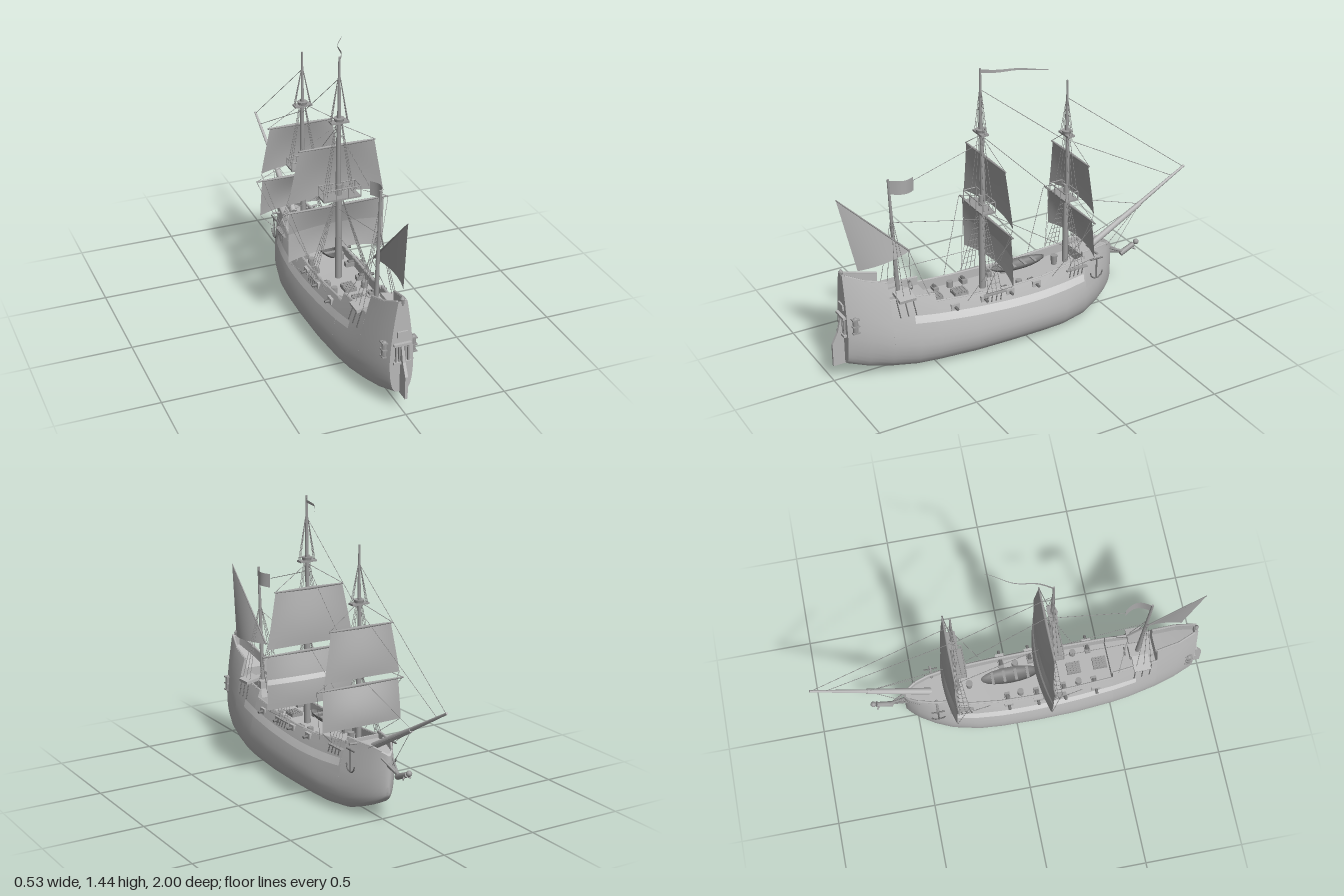
import * as THREE from 'three';
import { toCreasedNormals } from 'three/addons/utils/BufferGeometryUtils.js';

const V = (x, y, z) => new THREE.Vector3(x, y, z);
const lerp = THREE.MathUtils.lerp;

// Hull stations: z, keel y, widest y, half-width, tumblehome, sheer y, deck depth
const ST = [
  [0.94, 0.09, 0.25, 0.058, 0.09, 0.565, 0], [0.925, 0.085, 0.245, 0.065, 0.095, 0.557, 0],
  [0.925, 0.085, 0.245, 0.065, 0.095, 0.557, 0.05], [0.84, 0.055, 0.22, 0.098, 0.12, 0.52, 0.05],
  [0.73, 0.03, 0.18, 0.124, 0.16, 0.485, 0.05], [0.73, 0.03, 0.18, 0.124, 0.16, 0.40, 0.04],
  [0.6, 0.01, 0.15, 0.147, 0.2, 0.39, 0.04], [0.5, 0.005, 0.14, 0.16, 0.22, 0.38, 0.04],
  [0.5, 0.005, 0.14, 0.16, 0.22, 0.345, 0.05], [0.3, 0, 0.13, 0.175, 0.27, 0.328, 0.045],
  [0.1, 0, 0.13, 0.18, 0.29, 0.32, 0.04], [-0.08, 0, 0.13, 0.177, 0.29, 0.322, 0.04],
  [-0.2, 0, 0.13, 0.167, 0.26, 0.335, 0.045], [-0.33, 0.012, 0.15, 0.14, 0.2, 0.35, 0.045],
  [-0.33, 0.012, 0.15, 0.14, 0.2, 0.373, 0.03], [-0.42, 0.045, 0.18, 0.107, 0.15, 0.37, 0.03],
  [-0.49, 0.08, 0.22, 0.07, 0.1, 0.365, 0.03], [-0.53, 0.11, 0.25, 0.038, 0.05, 0.35, 0.02],
  [-0.545, 0.125, 0.26, 0.02, 0.02, 0.34, 0], [-0.555, 0.14, 0.27, 0.005, 0, 0.33, 0],
];

const sideX = (s, y) => {
  const c = (s[2] - y) / (s[2] - s[1]);
  if (c > 0) return s[3] * Math.pow(Math.max(0, 1 - c * c), 0.25);
  return Math.max(0.003, s[3] - s[4] * 2.3 * Math.pow(y - s[2], 1.5));
};
const hullX = (y, z) => {
  let i = 0;
  while (i < ST.length - 2 && ST[i + 1][0] > z) i++;
  const a = ST[i], b = ST[i + 1], t = a[0] === b[0] ? 0 : (a[0] - z) / (a[0] - b[0]);
  return sideX(a.map((v, k) => lerp(v, b[k], t)), y);
};

function meshGeometry(pos, idx) {
  const g = new THREE.BufferGeometry();
  g.setAttribute('position', new THREE.Float32BufferAttribute(pos, 3));
  g.setIndex(idx);
  g.computeVertexNormals();
  return g;
}

function gridGeometry(rows, cols, f) {
  const pos = [], idx = [];
  for (let i = 0; i <= rows; i++) for (let j = 0; j <= cols; j++) pos.push(...f(i / rows, j / cols));
  for (let i = 0; i < rows; i++) for (let j = 0; j < cols; j++) {
    const a = i * (cols + 1) + j, b = a + 1, d = a + cols + 1;
    idx.push(a, d, b, b, d, d + 1);
  }
  return meshGeometry(pos, idx);
}

// Closed hull skin with bulwarks and decks, capped at both ends
function hullGeometry() {
  const rings = ST.map((s) => {
    const half = [], N = 8, M = 6;
    for (let k = 0; k <= N; k++) {
      const a = (k / N) * Math.PI / 2;
      half.push([s[3] * Math.sqrt(Math.sin(a)), s[2] - (s[2] - s[1]) * Math.cos(a)]);
    }
    for (let k = 1; k <= M; k++) { const y = lerp(s[2], s[5], k / M); half.push([sideX(s, y), y]); }
    const xi = Math.max(0.001, sideX(s, s[5]) - 0.012);
    half.push([xi, s[5]], [xi, s[5] - s[6]], [0, s[5] - s[6]]);
    const port = half.slice(1, -1).reverse().map(([x, y]) => [-x, y]);
    return [...half, ...port].map(([x, y]) => [x, y, s[0]]);
  });
  const n = rings[0].length, pos = rings.flat(2), idx = [];
  for (let i = 0; i < rings.length - 1; i++) for (let j = 0; j < n; j++) {
    const a = i * n + j, b = i * n + (j + 1) % n;
    idx.push(a, a + n, b, b, a + n, b + n);
  }
  const last = (rings.length - 1) * n, c = rings.length * n;
  pos.push(0, 0.28, 0.94, 0, 0.25, -0.555);
  for (let j = 0; j < n; j++) {
    const k = (j + 1) % n;
    idx.push(c, j, k, c + 1, last + k, last + j);
  }
  return toCreasedNormals(meshGeometry(pos, idx), 0.65);
}

export function createModel() {
  const ship = new THREE.Group();
  ship.name = 'sailingShip';
  const material = (name, color) => Object.assign(new THREE.MeshStandardMaterial({ color, side: THREE.DoubleSide }), { name });
  const hullGrey = material('hullGrey', 0xb8b8b8), sailGrey = material('sailGrey', 0xaaaaaa);
  const pale = material('paleGrey', 0xd6d6d6), sparGrey = material('sparGrey', 0x9c9c9c), iron = material('ironGrey', 0x777777);
  // Parts not listed here are spar grey
  const paint = {
    hull: hullGrey, rail: hullGrey, rudder: hullGrey, sternPanel: hullGrey, sternGallery: hullGrey, poopCabin: hullGrey,
    sideDeck: hullGrey, bulkhead: hullGrey, gunPort: hullGrey, bowsprit: hullGrey, sideStripe: pale, bonnet: hullGrey, sailBand: pale,
    squareSail: sailGrey, lateenSail: sailGrey, ensign: sailGrey, pennant: sailGrey, shipBoat: iron, gunBarrel: iron,
    anchor: iron, chainPlate: iron,
  };
  const add = (name, geo, x = 0, y = 0, z = 0) => {
    const m = new THREE.Mesh(geo, paint[name] ?? sparGrey);
    m.name = name;
    m.position.set(x, y, z);
    ship.add(m);
    return m;
  };
  const box = (name, w, h, d, x, y, z) => add(name, new THREE.BoxGeometry(w, h, d), x, y, z);
  const rod = (name, a, b, r0, r1 = r0, sides = 8) => {
    const m = add(name, new THREE.CylinderGeometry(r1, r0, a.distanceTo(b), sides));
    m.position.copy(a).lerp(b, 0.5);
    m.quaternion.setFromUnitVectors(V(0, 1, 0), b.clone().sub(a).normalize());
  };
  const rope = (a, b, name) => rod(name, a, b, 0.0015, 0.0015, 4);
  const both = (f) => [1, -1].forEach(f);

  add('hull', hullGeometry());

  // Side stripes, rails, quarter galleries and rudder
  both((s) => {
    add('sideStripe', gridGeometry(24, 2, (u, v) => {
      const z = lerp(0.62, -0.32, u);
      const y = 0.222 + 0.09 * Math.pow(z - 0.05, 2) + 0.038 * v + 0.025 * Math.max(0, z);
      return [s * (hullX(y, z) + 0.002), y, z];
    }));
    ST.slice(2, -3).forEach((a, i) => {
      const b = ST[i + 3];
      if (a[0] - b[0] < 0.01) return;
      rod('rail', V(s * (sideX(a, a[5]) - 0.006), a[5], a[0]), V(s * (sideX(b, b[5]) - 0.006), b[5], b[0]), 0.006, 0.006, 6);
    });
    add('quarterGallery', new THREE.CapsuleGeometry(0.014, 0.06, 4, 8), s * (hullX(0.31, 0.905) + 0.002), 0.31, 0.905);
    for (const y of [0.275, 0.31, 0.345]) box('galleryBand', 0.034, 0.006, 0.036, s * hullX(0.31, 0.905), y, 0.905);
    box('sideDeck', 0.08, 0.016, 0.085, s * 0.076, 0.4, 0.65).rotation.z = -s * 0.2;
  });
  const rudder = new THREE.Shape([[-0.935, 0.085], [-1, 0.085], [-1, 0.2], [-0.97, 0.26], [-0.95, 0.34], [-0.935, 0.34]].map((p) => new THREE.Vector2(...p)));
  add('rudder', new THREE.ExtrudeGeometry(rudder, { depth: 0.014, bevelEnabled: false }), -0.007).rotation.y = Math.PI / 2;

  // Stern gallery and lantern
  for (const y of [0.25, 0.345]) box('sternGallery', 0.085, 0.012, 0.02, 0, y, 0.945);
  for (let i = -2; i <= 2; i++) box('sternWindowBar', 0.007, 0.085, 0.014, i * 0.015, 0.298, 0.943);
  box('sternPanel', 0.05, 0.03, 0.012, 0, 0.395, 0.942);
  add('sternLantern', new THREE.CylinderGeometry(0.011, 0.007, 0.035, 8), 0, 0.558, 0.935);
  add('lanternCap', new THREE.ConeGeometry(0.012, 0.018, 8), 0, 0.582, 0.935);

  // Gun ports with barrels
  for (const z of [0.41, 0.25, 0.11, -0.04]) both((s) => {
    const x = hullX(0.3, z);
    box('gunPort', 0.014, 0.03, 0.045, s * x, 0.302, z);
    rod('gunBarrel', V(s * (x - 0.05), 0.305, z), V(s * (x + 0.03), 0.298, z), 0.01, 0.007);
    box('gunCarriage', 0.045, 0.022, 0.028, s * (x - 0.042), 0.293, z);
  });

  // Deck fittings
  box('poopCabin', 0.07, 0.04, 0.12, 0, 0.37, 0.665);
  for (const [z, y] of [[0.455, 0.302], [0.32, 0.292]]) {
    box('hatch', 0.06, 0.016, 0.07, 0, y, z);
    for (let i = -2; i <= 2; i++) {
      box('hatchGrating', 0.004, 0.006, 0.07, i * 0.012, y + 0.011, z);
      box('hatchGrating', 0.06, 0.006, 0.004, 0, y + 0.011, z + i * 0.015);
    }
  }
  for (const z of [0.03, 0.33]) both((s) => add('barrel', new THREE.CylinderGeometry(0.016, 0.016, 0.035, 12), s * 0.078, 0.3, z));
  add('capstan', new THREE.CylinderGeometry(0.018, 0.014, 0.05, 10), 0, 0.325, -0.22);
  add('steeringWheel', new THREE.TorusGeometry(0.02, 0.003, 6, 16), 0, 0.405, 0.58);
  const boat = add('shipBoat', new THREE.SphereGeometry(1, 20, 8, 0, Math.PI * 2, Math.PI / 2, Math.PI / 2), 0, 0.367, -0.01);
  boat.scale.set(0.042, 0.034, 0.15);
  for (const z of [-0.09, -0.03, 0.03, 0.09]) box('boatThwart', 0.06, 0.005, 0.014, 0, 0.36, z - 0.01);
  box('bulkhead', 0.2, 0.08, 0.01, 0, 0.32, -0.335);

  // Masts, yards, tops and standing rigging
  const mast = ({ z, top, nest, railing, half, cap, r, lower, upper }) => {
    rod('lowerMast', V(0, 0.27, z), V(0, nest + 0.06, z), r, r * 0.85, 12);
    rod('topMast', V(0, nest, z - 0.008), V(0, cap + 0.03, z - 0.004), r * 0.75, r * 0.6, 10);
    rod('mastHead', V(0, cap, z), V(0, top, z), r * 0.6, r * 0.3);
    // railed top
    const rail = nest + railing;
    box('topPlatform', half * 2, 0.009, 0.07, 0, nest, z + 0.012);
    both((s) => {
      rod('topRail', V(s * half, rail, z - 0.023), V(s * half, rail, z + 0.047), 0.003);
      rod('topRail', V(-half, rail, z + 0.012 + s * 0.035), V(half, rail, z + 0.012 + s * 0.035), 0.003);
      for (const k of [-1, -0.33, 0.33, 1]) rod('topPost', V(k * half, nest, z + 0.012 + s * 0.035), V(k * half, rail, z + 0.012 + s * 0.035), 0.0025);
    });
    box('crossTree', 0.09, 0.009, 0.04, 0, cap, z);
    add('mastCap', new THREE.CylinderGeometry(0.026, 0.022, 0.016, 10), 0, cap + 0.012, z);
    // square sails on their yards
    for (const [yt, yb, wt, wb, wy, belly] of [lower, upper]) {
      const zs = z - r - 0.006;
      const point = (v, u, off) => {
        const k = u * 2 - 1, bow = belly * Math.sin(v * Math.PI * 0.6);
        return [k * lerp(wt, wb, v), lerp(yt, yb, v) + 0.012 * v * (1 - k * k), zs - 0.008 * v - bow * (1 - 0.9 * k * k) + off];
      };
      add('squareSail', gridGeometry(10, 16, (v, u) => point(v, u, 0)));
      // lighter cloth across the main course
      if (yb < 0.4) {
        add('bonnet', gridGeometry(6, 16, (v, u) => point(lerp(0.43, 1, v), u, 0.003)));
        add('sailBand', gridGeometry(2, 16, (v, u) => point(lerp(0.43, 0.53, v), u, -0.003)));
      }
      both((s) => {
        rod('yard', V(0, yt, zs), V(s * wy, yt, zs), 0.008, 0.004);
        rope(V(s * wy, yt, zs), V(0, yt + 0.12, z), 'yardLift');
        rope(V(s * wb, yb, zs - 0.01), V(s * (hullX(0.32, z) + 0.005), 0.32, z + 0.05), 'sheet');
      });
    }
    both((s) => {
      rope(V(s * lower[4], lower[0], z - r), V(s * hullX(0.31, z + 0.15), 0.31, z + 0.15), 'brace');
      const foot = (k) => V(s * (hullX(0.31, z + k) + 0.012), 0.315, z + k);
      const head = (k) => V(s * 0.015, nest - 0.01, z + k * 0.2);
      const ks = [-0.03, -0.005, 0.02, 0.045];
      box('channel', 0.022, 0.006, 0.12, s * (hullX(0.31, z) + 0.005), 0.315, z + 0.005);
      for (const k of ks) {
        rope(foot(k), head(k), 'shroud');
        rod('chainPlate', foot(k), V(s * (hullX(0.27, z + k) + 0.003), 0.28, z + k + 0.01), 0.003, 0.003, 5);
      }
      for (let t = 0.12; t < 0.9; t += 0.09) rope(foot(ks[0]).lerp(head(ks[0]), t), foot(ks[3]).lerp(head(ks[3]), t), 'ratline');
      for (const k of [-0.025, 0, 0.025]) {
        rope(V(s * 0.07, nest, z + k), V(s * 0.012, cap, z + k * 0.3), 'topShroud');
        rope(V(s * 0.042, cap, z + k * 0.4), V(0, top - 0.07, z), 'upperShroud');
      }
    });
  };
  mast({ z: 0.19, top: 1.435, nest: 0.728, railing: 0.055, half: 0.094, cap: 1.112, r: 0.017, lower: [0.665, 0.395, 0.245, 0.245, 0.265, 0.046], upper: [0.98, 0.7, 0.19, 0.245, 0.195, 0.034] });
  mast({ z: -0.285, top: 1.28, nest: 0.67, railing: 0.045, half: 0.075, cap: 1.0, r: 0.015, lower: [0.61, 0.41, 0.21, 0.22, 0.24, 0.043], upper: [0.89, 0.645, 0.165, 0.21, 0.175, 0.032] });

  // Mizzen mast with lateen sail, ensign and pennant
  rod('mizzenMast', V(0, 0.34, 0.645), V(0, 0.985, 0.677), 0.012, 0.006, 10);
  const peak = V(0.012, 0.95, 0.945), tack = V(0.012, 0.595, 0.585), clew = V(0.035, 0.575, 0.865);
  rod('lateenYard', tack, peak, 0.005, 0.003);
  add('lateenSail', gridGeometry(10, 10, (u, v) => {
    const p = peak.clone().lerp(tack.clone().lerp(clew, v), u);
    return [p.x + 0.1 * u * u * v * (1 - v), p.y, p.z];
  }));
  add('ensign', gridGeometry(8, 2, (u, v) => [0.03 * Math.sin(u * 3), lerp(0.98, 0.91, v) - 0.008 * u, lerp(0.677, 0.55, u)]));
  add('pennant', gridGeometry(16, 1, (u, v) => [0.12 * u + 0.01 * Math.sin(u * 8), 1.43 - 0.012 * u - v * 0.018 * (1 - 0.8 * u), lerp(0.19, -0.1, u)]));
  both((s) => {
    for (const z of [0.62, 0.66, 0.7]) {
      rope(V(s * hullX(0.38, z), 0.38, z), V(0, 0.8, 0.667), 'mizzenShroud');
      rod('chainPlate', V(s * (hullX(0.4, z) + 0.006), 0.4, z), V(s * (hullX(0.31, z) + 0.004), 0.31, z - 0.01), 0.003, 0.003, 5);
    }
    rope(V(0, 0.595, 0.585), V(s * 0.1, 0.38, 0.53), 'lateenTackle');
    rope(V(0, 0.51, -0.73), V(s * 0.07, 0.36, -0.48), 'bowspritGuy');
  });

  // Bowsprit and stays, given as y, z pairs
  rod('bowsprit', V(0, 0.34, -0.42), V(0, 0.51, -0.73), 0.017, 0.013, 10);
  rod('bowsprit', V(0, 0.49, -0.69), V(0, 0.663, -0.998), 0.011, 0.006);
  for (const [y0, z0, y1, z1] of [
    [1.33, 0.19, 0.96, -0.285], [1.1, 0.19, 0.63, -0.285], [0.7, 0.19, 0.38, -0.285],
    [1.19, -0.285, 0.66, -0.99], [0.97, -0.285, 0.625, -0.92], [0.65, -0.285, 0.51, -0.73],
    [0.76, 0.665, 0.655, 0.19], [0.51, 0.655, 0.507, 0.19], [0.95, 0.55, 1.06, 0.19], [0.51, -0.73, 0.28, -0.57],
  ]) rope(V(0, y0, z0), V(0, y1, z1), 'stay');

  // Beakhead, figurehead and bow anchors
  rod('beakhead', V(0, 0.29, -0.54), V(0, 0.26, -0.64), 0.014, 0.009);
  rod('figureBody', V(0, 0.25, -0.62), V(0, 0.285, -0.7), 0.015, 0.013);
  add('figureHead', new THREE.SphereGeometry(0.015, 10, 8), 0, 0.295, -0.715);
  both((s) => {
    rod('beakRail', V(s * 0.03, 0.32, -0.53), V(0, 0.26, -0.63), 0.005);
    rod('figureArm', V(0, 0.275, -0.68), V(s * 0.022, 0.265, -0.7), 0.005, 0.004);
    const z = -0.4, x = s * (hullX(0.24, z) + 0.009);
    rod('anchor', V(x, 0.225, z), V(x, 0.34, z), 0.004);
    rod('anchor', V(x, 0.335, z - 0.035), V(x, 0.335, z + 0.035), 0.004);
    add('anchor', new THREE.TorusGeometry(0.034, 0.0035, 6, 12, Math.PI), x, 0.26, z).rotation.set(0, Math.PI / 2, Math.PI, 'YXZ');
    rod('catHead', V(s * 0.06, 0.36, z), V(x + s * 0.006, 0.365, z), 0.006);
  });
  return ship;
}
